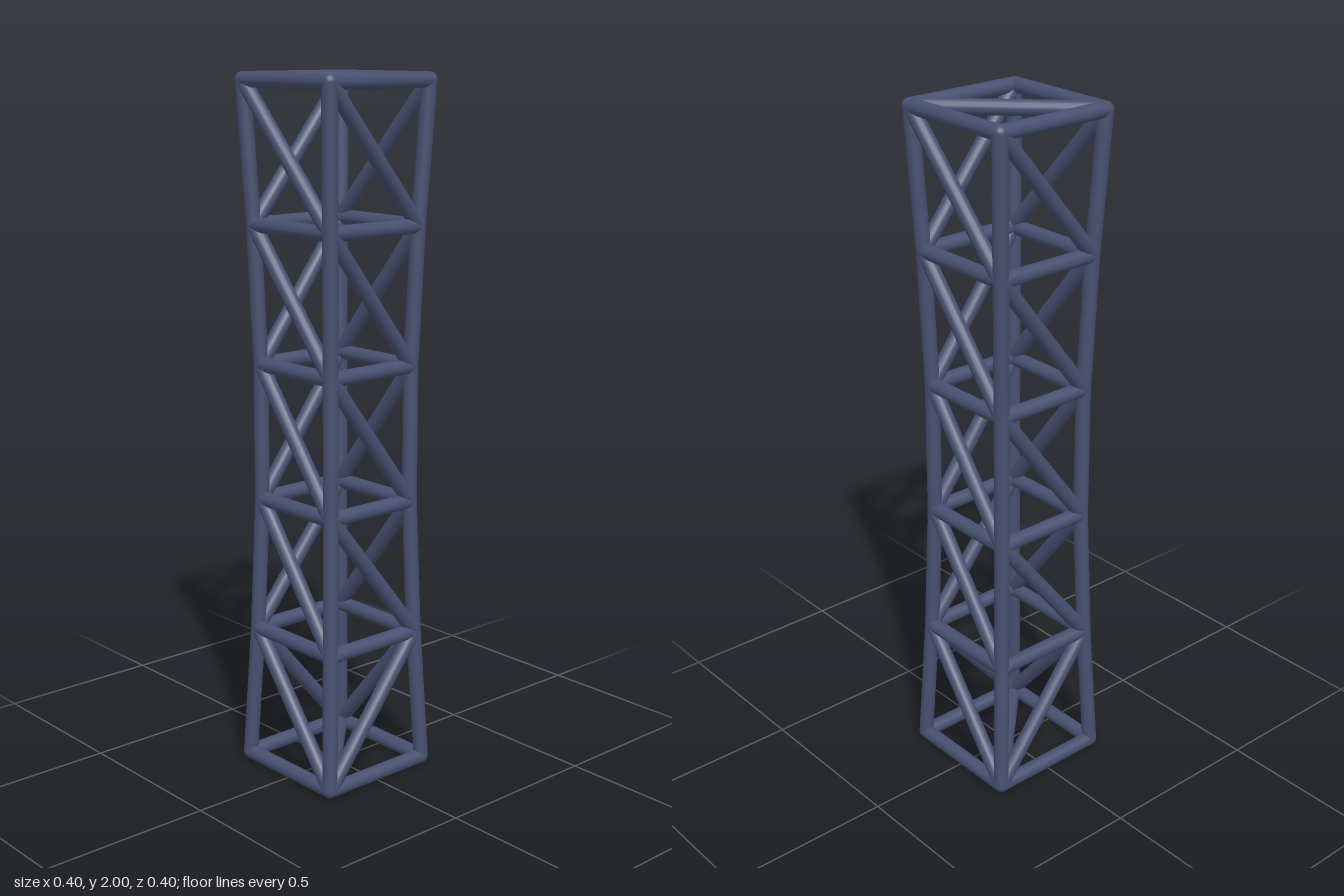
import * as THREE from 'three';

const R = 0.0215;      // tube radius
const LEVELS = 6;      // horizontal rings
const HALF = 0.1785;   // half width at top and bottom
const WAIST = 0.175;   // share of the width lost at the waist

export function createModel() {
  const tower = new THREE.Group();
  tower.name = 'latticeTower';
  const material = new THREE.MeshStandardMaterial({ color: 0x475070 });
  const UP = new THREE.Vector3(0, 1, 0);
  const jointGeometry = new THREE.SphereGeometry(R, 16, 12);

  // Round bar between two joints
  function bar(name, a, b) {
    const dir = b.clone().sub(a);
    const mesh = new THREE.Mesh(new THREE.CylinderGeometry(R, R, dir.length(), 16, 1, true), material);
    mesh.name = name;
    mesh.position.copy(a).add(b).multiplyScalar(0.5);
    mesh.quaternion.setFromUnitVectors(UP, dir.normalize());
    tower.add(mesh);
  }

  // Corners in order: front left of image, front right, back right, back left
  const signs = [[-1, 1], [1, 1], [1, -1], [-1, -1]];
  const nodes = [];
  for (let i = 0; i < LEVELS; i++) {
    const t = i / (LEVELS - 1);
    const w = HALF * (1 - WAIST * Math.sin(Math.PI * t));
    const y = R + t * (2 - 2 * R);
    nodes.push(signs.map(([sx, sz]) => new THREE.Vector3(sx * w, y, sz * w)));
  }

  nodes.forEach((ring, i) => {
    for (let c = 0; c < 4; c++) {
      const n = (c + 1) % 4;
      const joint = new THREE.Mesh(jointGeometry, material);
      joint.name = 'joint';
      joint.position.copy(ring[c]);
      tower.add(joint);

      bar('ringBar', ring[c], ring[n]);
      if (i === LEVELS - 1) continue;
      const above = nodes[i + 1];
      bar('leg', ring[c], above[c]);
      // Braces fall to the right, except on the lowest front and back panels
      if (i === 0 && c % 2 === 0) bar('brace', ring[c], above[n]);
      else bar('brace', above[c], ring[n]);
    }
  });

  // Crossing braces in the end frames
  bar('topBrace', nodes[LEVELS - 1][3], nodes[LEVELS - 1][1]);
  bar('bottomBrace', nodes[0][0], nodes[0][2]);

  return tower;
}
